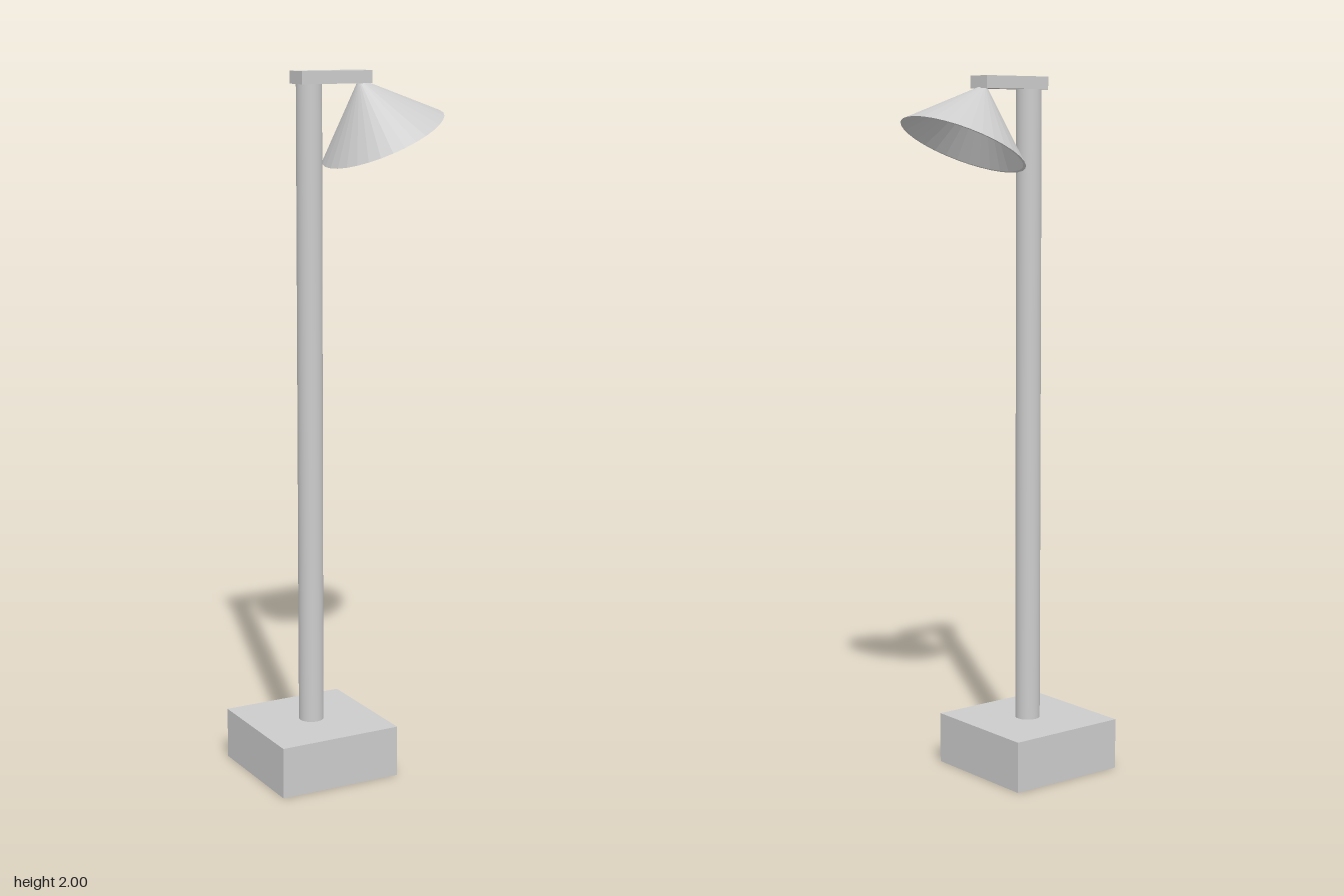
import * as THREE from 'three';

export function createModel() {
  const model = new THREE.Group();
  model.name = 'streetLamp';
  const grey = new THREE.MeshStandardMaterial({ color: 0xcccccc });
  const greyFlat = new THREE.MeshStandardMaterial({ color: 0xcccccc, flatShading: true });

  const add = (name, geometry, x, y, material = grey) => {
    const mesh = new THREE.Mesh(geometry, material);
    mesh.name = name;
    mesh.position.set(x, y, 0);
    model.add(mesh);
    return mesh;
  };

  const baseSize = 0.366, baseHeight = 0.147;
  const armHeight = 0.035, poleX = -0.108;
  const poleHeight = 2 - armHeight - baseHeight;

  // Square foot, upright pole and short arm reaching to +x
  add('base', new THREE.BoxGeometry(baseSize, baseHeight, baseSize), poleX, baseHeight / 2);
  add('pole', new THREE.CylinderGeometry(0.036, 0.036, poleHeight, 32), poleX, baseHeight + poleHeight / 2);
  add('arm', new THREE.BoxGeometry(0.218, armHeight, 0.073), -0.039, 2 - armHeight / 2);

  // Hollow conical shade: inner wall down to the rim, then outer wall up to the tip
  const radius = 0.183, height = 0.183, wall = 0.008;
  const profile = [
    [0, height - wall],
    [radius - wall, 0],
    [radius, 0],
    [0, height],
  ].map(([r, y]) => new THREE.Vector2(r, y));
  const shade = add('lampShade', new THREE.LatheGeometry(profile, 32), 0.124, 1.811, greyFlat);
  shade.rotation.z = THREE.MathUtils.degToRad(25);

  return model;
}
